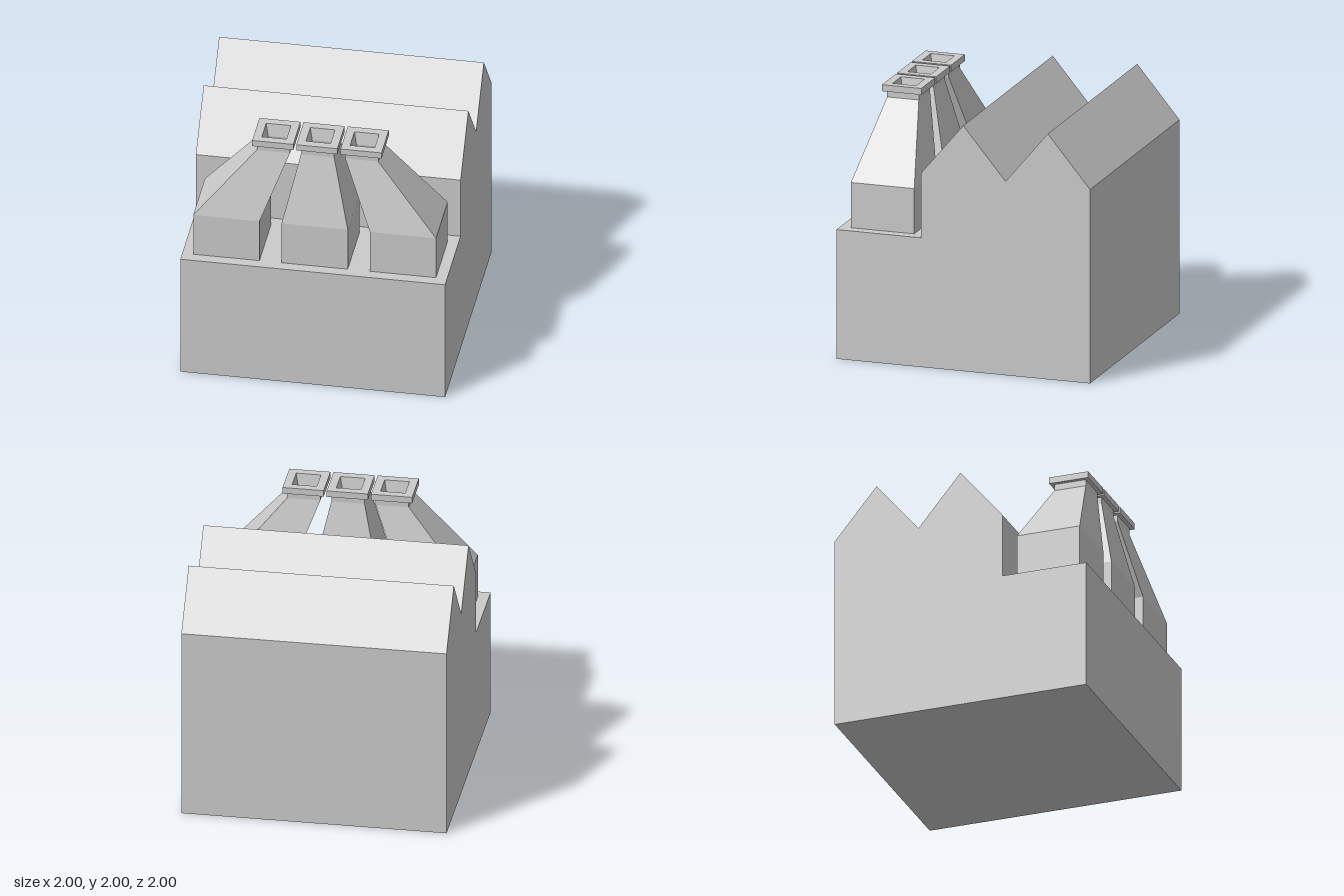
import * as THREE from 'three';

const material = new THREE.MeshStandardMaterial({ color: 0xcccccc, flatShading: true });

// Square sections [centre x, y, half width] joined by flat quads; sections run up the outside, down the inside
function squareLoft(name, sections) {
  const corners = [[1, 1], [1, -1], [-1, -1], [-1, 1]];
  const positions = [];
  const point = ([cx, y, h], i) => [cx + corners[i % 4][0] * h, y, corners[i % 4][1] * h];
  for (let s = 0; s < sections.length - 1; s++) {
    for (let i = 0; i < 4; i++) {
      const a = point(sections[s], i), b = point(sections[s], i + 1);
      const c = point(sections[s + 1], i + 1), d = point(sections[s + 1], i);
      positions.push(...a, ...b, ...c, ...a, ...c, ...d);
    }
  }
  const geometry = new THREE.BufferGeometry();
  geometry.setAttribute('position', new THREE.Float32BufferAttribute(positions, 3));
  geometry.computeVertexNormals();
  const mesh = new THREE.Mesh(geometry, material);
  mesh.name = name;
  return mesh;
}

// Hall with a low front terrace and two parallel gable roofs, extruded across x
function createHall() {
  const t = 1 / 3;
  const profile = [[1, 0], [1, 1], [t, 1], [t, 1.5], [0, 1.9], [-t, 1.5], [-2 * t, 1.9], [-1, 1.5], [-1, 0]];
  const shape = new THREE.Shape(profile.map(([z, y]) => new THREE.Vector2(z, y)));
  const geometry = new THREE.ExtrudeGeometry(shape, { depth: 2, bevelEnabled: false });
  geometry.rotateY(-Math.PI / 2).translate(1, 0, 0);
  const hall = new THREE.Mesh(geometry, material);
  hall.name = 'gabledHall';
  return hall;
}

// Hollow chimney whose hood leans from its base centre to its flue centre
function createChimney(name, baseX, topX) {
  const chimney = new THREE.Group();
  chimney.name = name;
  chimney.add(
    squareLoft('hood', [[baseX, 1, 0.25], [baseX, 1.35, 0.25], [topX, 1.9, 0.125]]),
    squareLoft('neck', [[topX, 1.9, 0.125], [topX, 1.95, 0.125]]),
    squareLoft('capRim', [[topX, 1.95, 0.125], [topX, 1.95, 0.155], [topX, 2, 0.155], [topX, 2, 0.093]]),
    squareLoft('flueLining', [[topX, 2, 0.093], [topX, 1.9, 0.075], [baseX, 1.35, 0.2], [baseX, 1, 0.2]])
  );
  chimney.position.z = 2 / 3;
  return chimney;
}

export function createModel() {
  const model = new THREE.Group();
  model.name = 'factory';
  model.add(createHall());
  ['rightChimney', 'middleChimney', 'leftChimney'].forEach((name, i) => {
    model.add(createChimney(name, (i - 1) * 2 / 3, (i - 1) / 3));
  });
  return model;
}
